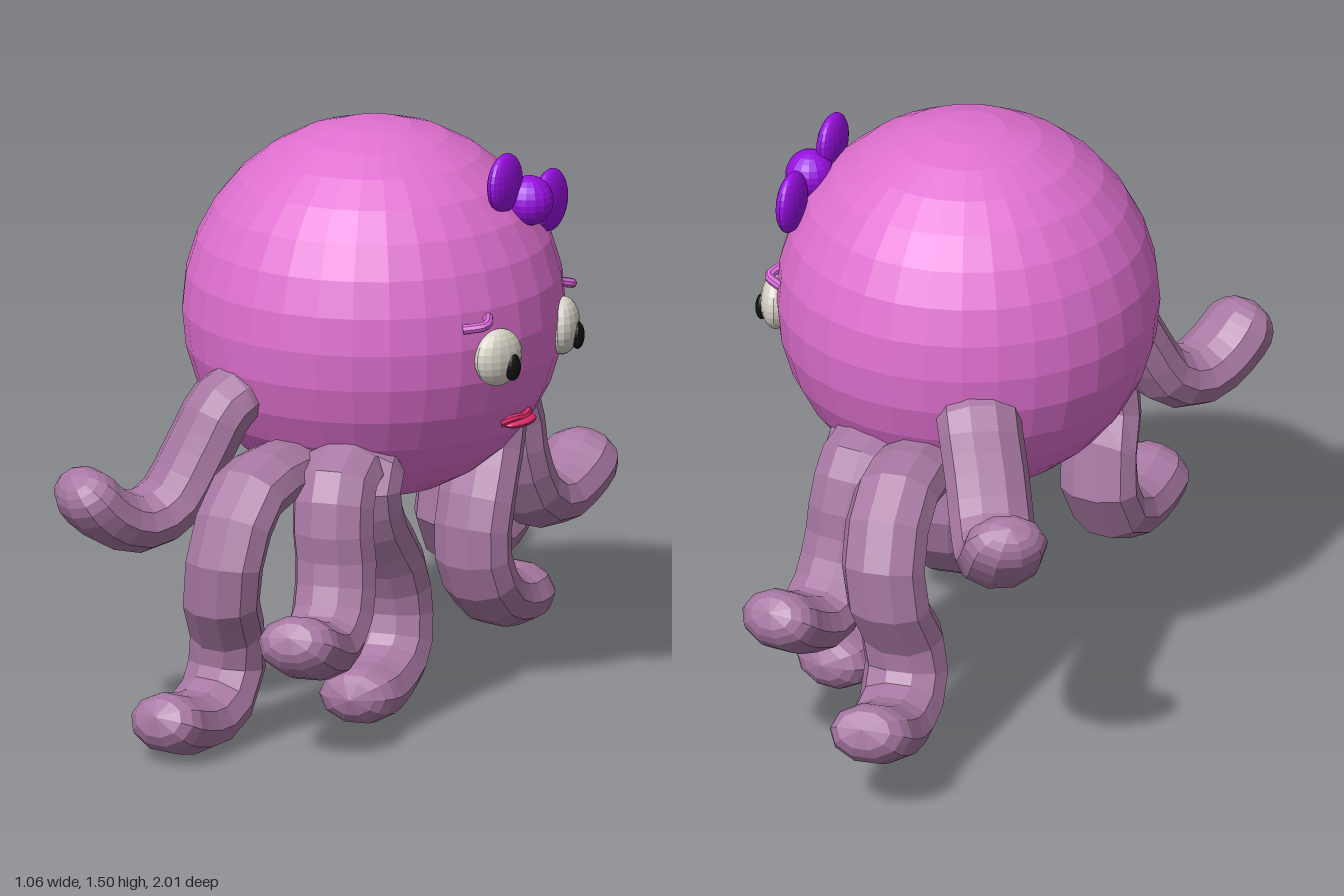
import * as THREE from 'three';
import { ParametricGeometry } from 'three/addons/geometries/ParametricGeometry.js';

const mat = (color) => new THREE.MeshStandardMaterial({ color, flatShading: true });
const skin = mat(0xe070d0), arm = mat(0xa878a3), purple = mat(0x980fe0);
const white = mat(0xd8d4c8), black = mat(0x101010), lip = mat(0xe02c6c), browMat = mat(0xd868d8);

// Faceted ellipsoid
function ball(name, material, pos, radii, w = 16, h = 12) {
  const mesh = new THREE.Mesh(new THREE.SphereGeometry(1, w, h), material);
  mesh.name = name;
  mesh.position.set(...pos);
  mesh.scale.set(...radii);
  return mesh;
}

// Tube through the given points
function tube(name, material, points, radius) {
  const curve = new THREE.CatmullRomCurve3(points.map((p) => new THREE.Vector3(...p)));
  const mesh = new THREE.Mesh(new THREE.TubeGeometry(curve, 10, radius, 8), material);
  mesh.name = name;
  return mesh;
}

// Tentacle with an oval section, broad sideways, rounded at both ends
function tentacle(name, path, side) {
  const pts = path.map(([x, z, y]) => new THREE.Vector3(x, y, z * side));
  const curve = new THREE.CatmullRomCurve3(pts);
  const out = pts[pts.length - 1].clone().sub(pts[0]).setY(0).normalize();
  const across = new THREE.Vector3(out.z, 0, -out.x);
  const cap = 0.085 / curve.getLength();
  const geo = new ParametricGeometry((u, v, target) => {
    const t = THREE.MathUtils.clamp(v - 0.7 * Math.sin(2 * Math.PI * v) / (2 * Math.PI), 0, 1);
    const k = Math.max(0, 1 - Math.min(t, 1 - t) / cap);
    const r = Math.sqrt(Math.max(0, 1 - k * k));
    const tan = curve.getTangentAt(t);
    const up = tan.clone().cross(across).normalize();
    const a = u * Math.PI * 2;
    target.copy(curve.getPointAt(t))
      .addScaledVector(across, Math.cos(a) * 0.11 * r)
      .addScaledVector(up, Math.sin(a) * 0.079 * r);
  }, 10, 20);
  const mesh = new THREE.Mesh(geo, arm);
  mesh.name = name;
  return mesh;
}

// Centre lines as [x, distance outward, height]
const paths = {
  middleTentacle: [[-0.01, 0.28, 0.66], [-0.02, 0.46, 0.7], [-0.03, 0.62, 0.68], [-0.04, 0.71, 0.56],
    [-0.06, 0.71, 0.42], [-0.08, 0.64, 0.3], [-0.09, 0.66, 0.18], [-0.1, 0.77, 0.125], [-0.11, 0.9, 0.15], [-0.11, 1.0, 0.2]],
  frontTentacle: [[0.16, 0.26, 0.7], [0.17, 0.36, 0.67], [0.17, 0.34, 0.56], [0.18, 0.26, 0.43],
    [0.18, 0.225, 0.3], [0.19, 0.27, 0.18], [0.19, 0.38, 0.125], [0.2, 0.52, 0.13]],
  sideTentacle: [[0.13, 0.28, 0.67], [0.14, 0.42, 0.7], [0.15, 0.48, 0.61], [0.16, 0.49, 0.48],
    [0.17, 0.54, 0.36], [0.18, 0.63, 0.31], [0.2, 0.74, 0.34], [0.21, 0.86, 0.41]],
  backTentacle: [[-0.14, 0.34, 0.88], [-0.18, 0.43, 0.86], [-0.23, 0.49, 0.74], [-0.28, 0.56, 0.62],
    [-0.33, 0.65, 0.59], [-0.38, 0.74, 0.64], [-0.43, 0.81, 0.75]],
};

export function createModel() {
  const model = new THREE.Group();
  model.name = 'octopus';
  model.add(ball('head', skin, [0.023, 1.005, 0.025], [0.493, 0.493, 0.493], 32, 16));

  // Four pairs of tentacles, slightly tilted as a set
  const tentacles = new THREE.Group();
  tentacles.name = 'tentacles';
  for (const side of [1, -1]) {
    for (const [name, path] of Object.entries(paths)) {
      tentacles.add(tentacle((side > 0 ? 'left' : 'right') + '_' + name, path, side));
    }
  }
  tentacles.rotation.set(0.065, 0.03, 0);
  tentacles.position.z = -0.015;
  model.add(tentacles);

  // Eyes, pupils and brows
  const face = new THREE.Group();
  face.name = 'face';
  for (const s of [1, -1]) {
    const eye = ball('eye', white, [0.485, 0.973, 0.03 + s * 0.172], [0.042, 0.075, 0.075]);
    eye.rotation.y = -s * 0.3;
    const pupil = ball('pupil', black, [0.523, 0.95, 0.023 + s * 0.172], [0.018, 0.036, 0.025]);
    pupil.rotation.y = -s * 0.25;
    const brow = tube('brow', browMat, [[0.43, 1.06, 0.03 + s * 0.26],
      [0.48, 1.07, 0.03 + s * 0.23], [0.465, 1.082, 0.03 + s * 0.19]], 0.013);
    face.add(eye, pupil, brow);
  }

  // Lips with drooping corners
  face.add(tube('upperLip', lip, [[0.44, 0.768, 0.115], [0.462, 0.776, 0.08],
    [0.468, 0.772, 0.043], [0.462, 0.776, 0.006], [0.44, 0.768, -0.03]], 0.012));
  face.add(ball('lowerLip', lip, [0.458, 0.762, 0.043], [0.036, 0.014, 0.066]));
  model.add(face);

  // Bow
  const bow = new THREE.Group();
  bow.name = 'bow';
  bow.add(ball('bowKnot', purple, [0.425, 1.315, -0.07], [0.063, 0.065, 0.065]));
  bow.add(ball('bowLoop', purple, [0.397, 1.376, 0.008], [0.03, 0.078, 0.078], 20, 14));
  bow.add(ball('bowLoop', purple, [0.423, 1.288, -0.187], [0.03, 0.082, 0.076], 20, 14));
  model.add(bow);
  return model;
}
